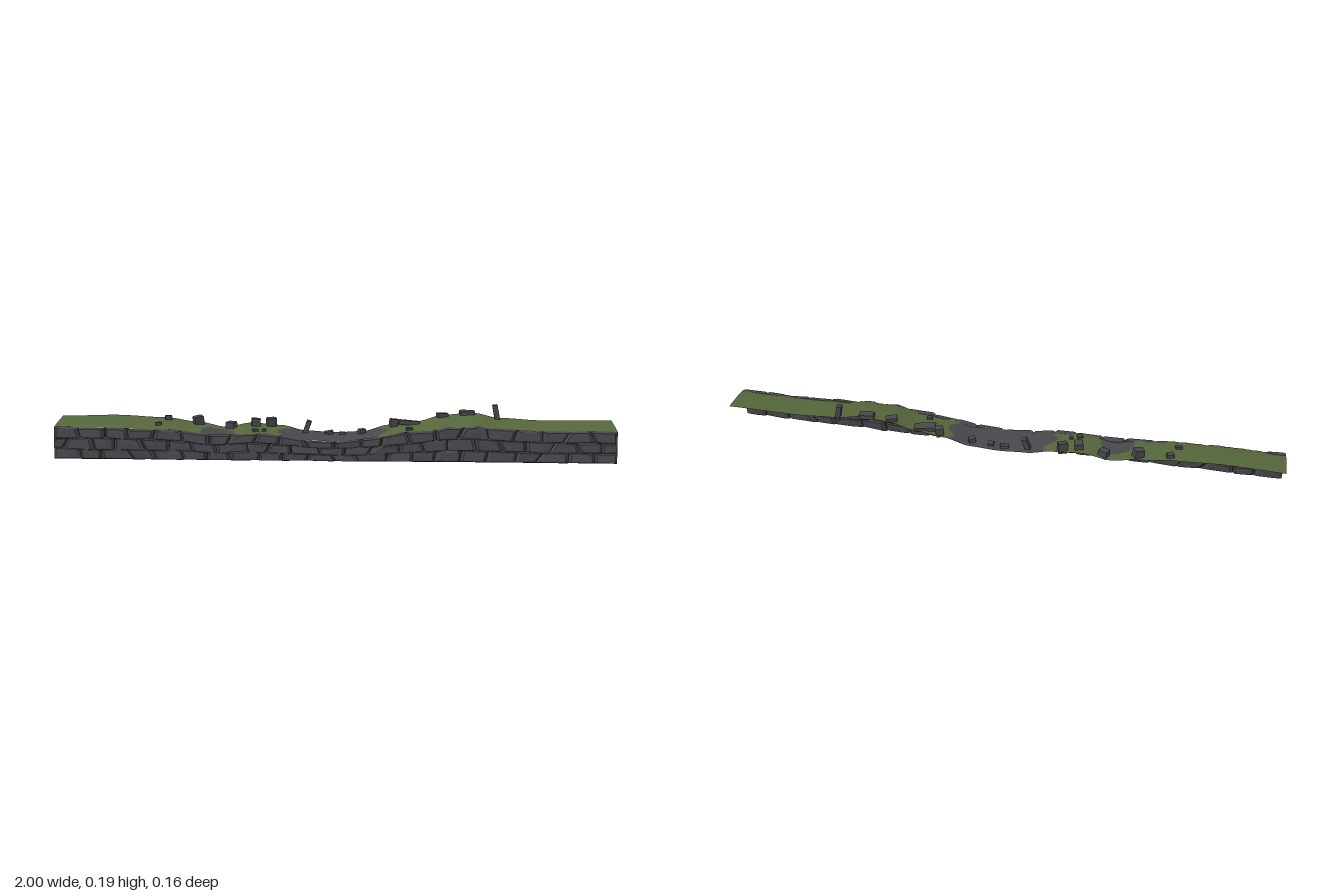
import * as THREE from 'three';
import { ConvexGeometry } from 'three/addons/geometries/ConvexGeometry.js';
import { mergeGeometries } from 'three/addons/utils/BufferGeometryUtils.js';

// seeded random numbers
let seed = 7;
function rand(a = 0, b = 1) {
  seed = (seed * 16807) % 2147483647;
  return a + (b - a) * (seed / 2147483647);
}

// skyline of the bank: x, height at the back edge
const skyline = [
  [-1, 0.13], [-0.8, 0.135], [-0.62, 0.127], [-0.5, 0.112], [-0.4, 0.094], [-0.3, 0.11],
  [-0.2, 0.102], [-0.1, 0.082], [0, 0.076], [0.1, 0.081], [0.2, 0.106], [0.3, 0.12],
  [0.4, 0.145], [0.5, 0.152], [0.6, 0.134], [0.75, 0.126], [1, 0.128],
];

function backHeight(x) {
  let i = 0;
  while (i < skyline.length - 2 && x > skyline[i + 1][0]) i++;
  const [x0, y0] = skyline[i], [x1, y1] = skyline[i + 1];
  const t = THREE.MathUtils.clamp((x - x0) / (x1 - x0), 0, 1);
  return y0 + (y1 - y0) * t * t * (3 - 2 * t);
}

const frontHeight = (x) => 0.068 + (backHeight(x) - 0.075) * 0.74;
const BACK = -0.073, FRONT = 0.058;

function groundHeight(x, z) {
  const t = THREE.MathUtils.clamp((FRONT - z) / (FRONT - BACK), 0, 1);
  return THREE.MathUtils.lerp(frontHeight(x), backHeight(x), Math.pow(t, 0.65));
}

// bare earth patches in the grass
function isBare(x, z) {
  const wobble = 0.015 * Math.sin(z * 70 + x * 9);
  const main = x > -0.19 + wobble - z * 0.3 && x < 0.18 + wobble;
  const small = Math.hypot((x + 0.415) / 0.06, (z - 0.025) / 0.06) < 1;
  return main || small;
}

function buildGround(materials) {
  const geo = new THREE.PlaneGeometry(2, FRONT - BACK, 160, 14);
  geo.rotateX(-Math.PI / 2);
  geo.translate(0, 0, (FRONT + BACK) / 2);
  const p = geo.attributes.position;
  for (let i = 0; i < p.count; i++) {
    const x = p.getX(i);
    let z = p.getZ(i);
    p.setY(i, groundHeight(x, z));
    if (z > FRONT - 0.001) p.setZ(i, z + rand(-0.003, 0.005));
  }
  // sort triangles into grass and earth
  const idx = geo.index.array, grass = [], earth = [];
  for (let i = 0; i < idx.length; i += 3) {
    const tri = [idx[i], idx[i + 1], idx[i + 2]];
    const x = tri.reduce((s, k) => s + p.getX(k), 0) / 3;
    const z = tri.reduce((s, k) => s + p.getZ(k), 0) / 3;
    (isBare(x, z) ? earth : grass).push(...tri);
  }
  geo.setIndex([...grass, ...earth]);
  geo.addGroup(0, grass.length, 0);
  geo.addGroup(grass.length, earth.length, 1);
  geo.computeVertexNormals();
  return new THREE.Mesh(geo, materials);
}

const wallCentre = (y) => 0.065 - 0.1 * y;

// interlocking six-cornered stones in leaning courses
function buildWall(material) {
  const rows = 3, cols = 22, corners = [];
  for (let r = 0; r <= rows; r++) {
    corners.push([]);
    for (let k = 0; k <= cols * 2; k++) {
      const end = k === 0 || k === cols * 2;
      const x = -1 + k / cols + (end ? 0 : rand(-0.016, 0.016));
      const zig = r === 0 || r === rows ? 0 : ((k + r) % 2 ? 0.09 : -0.09) + rand(-0.1, 0.1);
      const lift = r === rows ? rand(-0.004, 0.007) : 0;
      corners[r].push([x, (frontHeight(x) * (r + zig)) / rows + lift]);
    }
  }
  const stones = [];
  for (let r = 0; r < rows; r++) {
    for (let k = -(r % 2); k < cols * 2; k += 2) {
      const outline = [];
      for (const row of [r, r + 1]) {
        for (let j = k; j <= k + 2; j++) {
          outline.push(corners[row][THREE.MathUtils.clamp(j, 0, cols * 2)]);
        }
      }
      const cx = outline.reduce((s, q) => s + q[0], 0) / 6;
      const cy = outline.reduce((s, q) => s + q[1], 0) / 6;
      const bulge = rand(0.009, 0.015), tilt = rand(-0.1, 0.1), pts = [];
      for (const [scale, depth] of [[0.78, bulge], [0.98, 0.003], [0.98, -0.004], [0.75, -0.012]]) {
        for (const [ox, oy] of outline) {
          const x = cx + (ox - cx) * scale, y = cy + (oy - cy) * scale;
          const z = wallCentre(y) + depth + (x - cx) * tilt + rand(-0.002, 0.002);
          pts.push(new THREE.Vector3(x, y, z));
        }
      }
      stones.push(new ConvexGeometry(pts));
    }
  }
  return new THREE.Mesh(mergeGeometries(stones), material);
}

// dark sheet seen in the joints between stones
function buildJoints(material) {
  const geo = new THREE.PlaneGeometry(2, 1, 60, 2);
  const p = geo.attributes.position;
  for (let i = 0; i < p.count; i++) {
    const y = (p.getY(i) + 0.5) * (frontHeight(p.getX(i)) - 0.002);
    p.setY(i, y);
    p.setZ(i, wallCentre(y));
  }
  geo.computeVertexNormals();
  return new THREE.Mesh(geo, material);
}

// chipped block used for every loose stone
function blockGeometry(w, h, d) {
  const pts = [];
  for (const sx of [-1, 1]) for (const sy of [-1, 1]) for (const sz of [-1, 1]) {
    const c = [sx * w / 2, sy * h / 2, sz * d / 2];
    for (let a = 0; a < 3; a++) {
      const q = c.map((v, i) => v * (i === a ? rand(0.6, 0.8) : rand(0.92, 1)));
      pts.push(new THREE.Vector3(...q));
    }
  }
  return new ConvexGeometry(pts);
}

export function createModel() {
  const group = new THREE.Group();
  const mat = (name, color, side = THREE.FrontSide) => {
    const m = new THREE.MeshStandardMaterial({ color, side });
    m.name = name;
    return m;
  };
  const grass = mat('grass', 0x56673b, THREE.DoubleSide);
  const earth = mat('bareEarth', 0x49484d, THREE.DoubleSide);
  const stone = mat('stone', 0x47464c);
  const joint = mat('jointShadow', 0x2a2a2e, THREE.DoubleSide);

  const add = (name, mesh) => {
    mesh.name = name;
    group.add(mesh);
    return mesh;
  };
  add('ground', buildGround([grass, earth]));
  add('wallStones', buildWall(stone));
  add('wallJoints', buildJoints(joint));

  // loose stones: x, z, width, height, depth, turn
  const loose = [
    [-0.605, -0.05, 0.025, 0.02, 0.02, 0.3], [-0.495, -0.048, 0.035, 0.038, 0.03, 0.5],
    [-0.375, -0.048, 0.035, 0.03, 0.028, -0.4], [-0.285, -0.04, 0.032, 0.035, 0.032, 0.2],
    [-0.23, -0.055, 0.036, 0.04, 0.024, 0.4], [-0.02, -0.048, 0.032, 0.014, 0.02, 0.2],
    [0.03, -0.042, 0.022, 0.012, 0.02, 0], [0.1, -0.042, 0.026, 0.022, 0.02, 0.5],
    [0.215, -0.052, 0.03, 0.035, 0.026, 0.3], [0.27, -0.045, 0.08, 0.018, 0.032, 0.12],
    [0.39, -0.054, 0.042, 0.016, 0.026, 0.3], [0.48, -0.062, 0.056, 0.016, 0.03, 0.1],
    [-0.63, 0.014, 0.024, 0.012, 0.016, 0.2], [-0.28, 0.03, 0.02, 0.012, 0.014, 0.5],
    [-0.25, 0.02, 0.014, 0.01, 0.012, 0], [0.27, 0.025, 0.022, 0.012, 0.014, 0.3],
  ];
  for (const [x, z, w, h, d, turn] of loose) {
    const m = add('looseStone', new THREE.Mesh(blockGeometry(w, h, d), stone));
    m.position.set(x, groundHeight(x, z) + h * 0.25, z);
    m.rotation.set(rand(-0.12, 0.12), turn, rand(-0.12, 0.12));
  }

  // standing stones: x, z, top height, lean
  for (const [x, z, top, lean] of [[0.585, -0.061, 0.185, 0.2], [-0.1, -0.045, 0.126, -0.35]]) {
    const h = top - groundHeight(x, z) + 0.015;
    const m = add('standingStone', new THREE.Mesh(blockGeometry(0.019, h, 0.021), stone));
    m.position.set(x, top - h / 2, z);
    m.rotation.set(-0.05, 0, lean);
  }
  return group;
}
